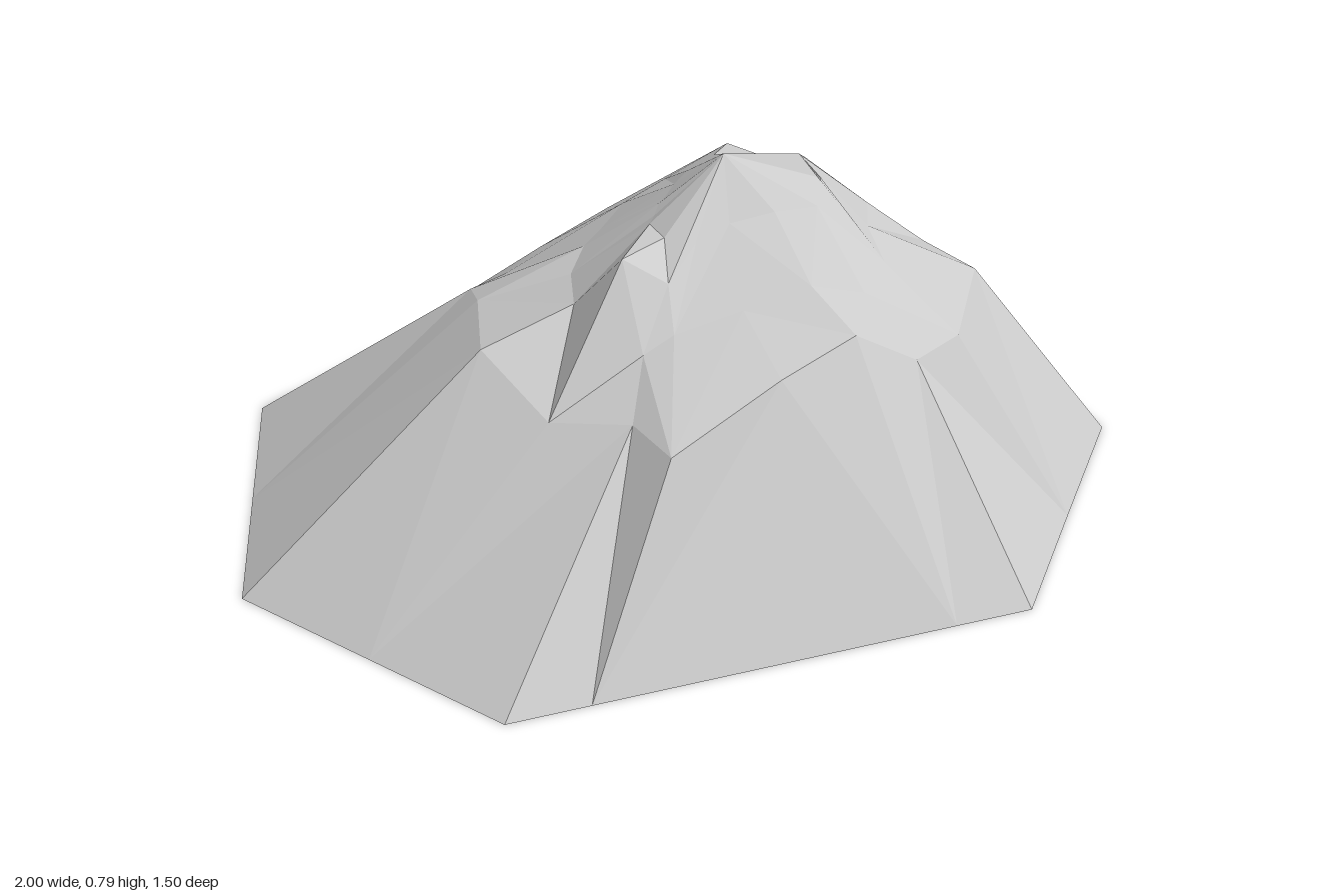
import * as THREE from 'three';

// Contour loops, bottom to top; each row is x, y, z, running anticlockwise from the front left corner.
const foot = [
  [-0.57, 0, 0.75], [-0.39, 0, 0.75], [0.1, 0, 0.75], [0.4, 0, 0.75], [0.57, 0, 0.75], [0.78, 0, 0.485],
  [1, 0, 0.21], [0.92, 0, -0.125], [0.84, 0, -0.46], [0.53, 0, -0.605], [0.22, 0, -0.75], [-0.08, 0, -0.715],
  [-0.38, 0, -0.68], [-0.61, 0, -0.57], [-0.84, 0, -0.46], [-0.92, 0, -0.125], [-1, 0, 0.21], [-0.785, 0, 0.48],
];
const shoulder = [
  [-0.2, 0.42, 0.42], [-0.16, 0.42, 0.55], [0.1, 0.5, 0.47], [0.28, 0.54, 0.42], [0.42, 0.45, 0.42], [0.54, 0.45, 0.36],
  [0.68, 0.45, 0.13], [0.61, 0.46, 0], [0.5, 0.44, -0.2], [0.36, 0.47, -0.35], [0.2, 0.42, -0.44], [0, 0.41, -0.43],
  [-0.18, 0.38, -0.36], [-0.28, 0.37, -0.29], [-0.38, 0.39, -0.22], [-0.39, 0.43, -0.11], [-0.44, 0.46, 0.12], [-0.35, 0.39, 0.32],
];
const crag = [
  [-0.14, 0.5, 0.3], [-0.07, 0.53, 0.29], [0.08, 0.56, 0.29], [0.23, 0.59, 0.29], [0.35, 0.55, 0.29], [0.43, 0.56, 0.2],
  [0.43, 0.59, 0.1], [0.48, 0.57, -0.02], [0.38, 0.59, -0.11], [0.32, 0.61, -0.2], [0.23, 0.64, -0.25], [0.08, 0.58, -0.24],
  [-0.03, 0.56, -0.2], [-0.1, 0.54, -0.14], [-0.15, 0.53, -0.1], [-0.2, 0.51, -0.03], [-0.23, 0.52, 0.1], [-0.15, 0.67, 0.19],
];
const crown = [
  [-0.06, 0.61, 0.22], [0.02, 0.66, 0.16], [0.1, 0.68, 0.14], [0.2, 0.69, 0.14], [0.3, 0.68, 0.13], [0.33, 0.71, 0.07],
  [0.29, 0.76, 0.04], [0.33, 0.71, -0.02], [0.28, 0.69, -0.05], [0.22, 0.69, -0.1], [0.15, 0.7, -0.11], [0.08, 0.69, -0.08],
  [0.04, 0.68, -0.05], [0.01, 0.67, -0.02], [-0.01, 0.67, 0], [-0.03, 0.66, 0.03], [-0.05, 0.66, 0.06], [-0.04, 0.665, 0.13],
];
const peak = [0.12, 0.79, 0.04];

function facetedMesh(name, triangles) {
  const geometry = new THREE.BufferGeometry();
  geometry.setAttribute('position', new THREE.Float32BufferAttribute(triangles.flat(2), 3));
  geometry.computeVertexNormals();
  const mesh = new THREE.Mesh(geometry, new THREE.MeshStandardMaterial({ color: 0xcccccc, flatShading: true }));
  mesh.name = name;
  return mesh;
}

// Band of facets between two loops, with the diagonal alternating
function band(lower, upper) {
  const triangles = [];
  lower.forEach((a, i) => {
    const j = (i + 1) % lower.length;
    const b = lower[j], c = upper[j], d = upper[i];
    if (i % 2) triangles.push([a, b, c], [a, c, d]);
    else triangles.push([a, b, d], [b, c, d]);
  });
  return triangles;
}

// Fan of facets from a loop to one point
function fan(loop, tip) {
  return loop.map((a, i) => [a, loop[(i + 1) % loop.length], tip]);
}

export function createModel() {
  const mountain = new THREE.Group();
  mountain.name = 'mountain';
  mountain.add(
    facetedMesh('lowerSlopes', band(foot, shoulder)),
    facetedMesh('upperSlopes', band(shoulder, crag)),
    facetedMesh('crags', band(crag, crown)),
    facetedMesh('summit', fan(crown, peak)),
    // Flat underside, wound to face down
    facetedMesh('underside', fan([...foot].reverse(), [0, 0, 0])),
  );
  return mountain;
}
